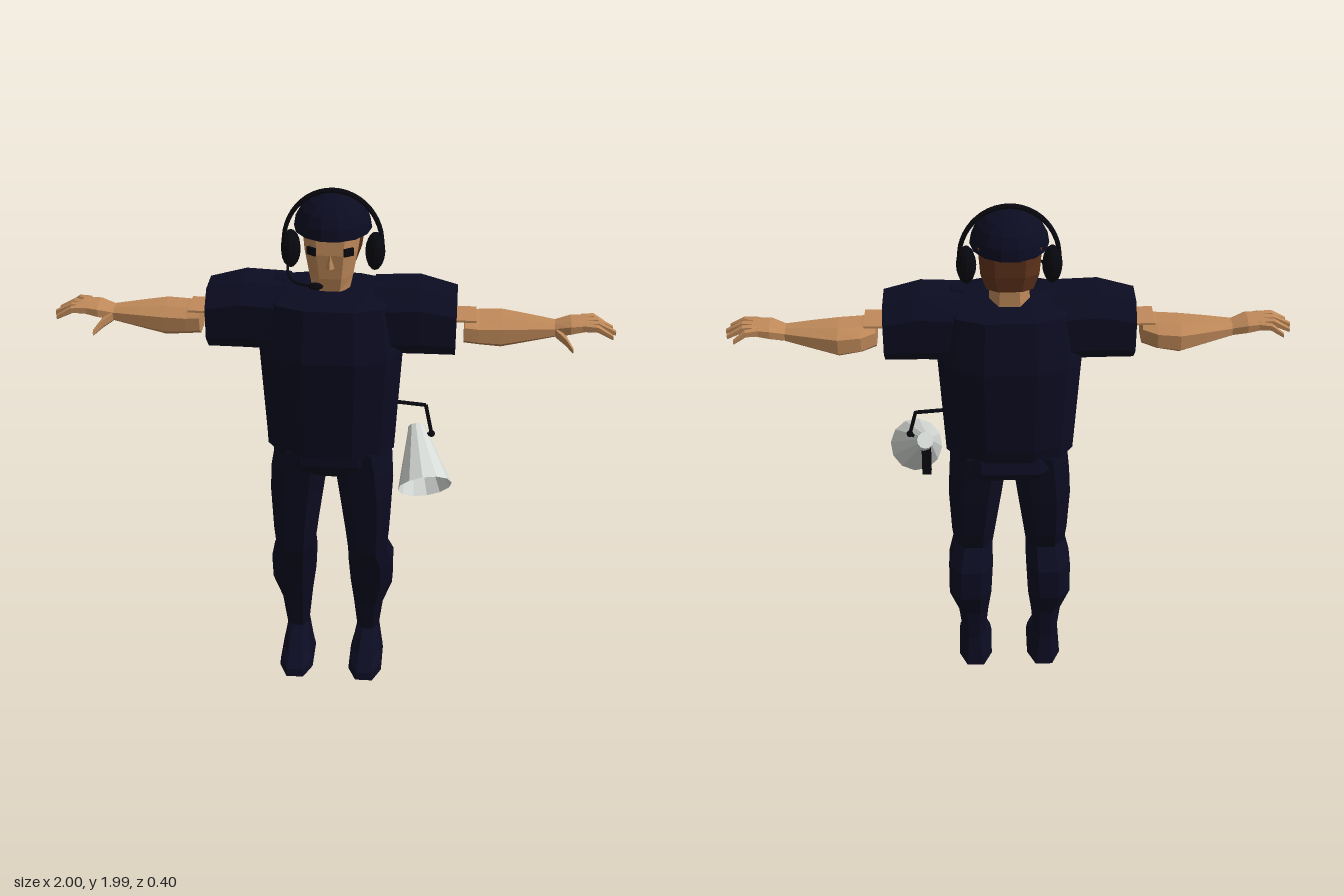
import * as THREE from 'three';

const paint = (name, color) => {
  const m = new THREE.MeshStandardMaterial({ color });
  m.name = name;
  return m;
};

export function createModel() {
  const root = new THREE.Group();
  root.name = 'crewMember';
  const navy = paint('navyCloth', 0x0c0c22);
  const black = paint('blackPlastic', 0x07070f);
  const skin = paint('skin', 0xc08a5a);
  const hair = paint('brownHair', 0x63351d);
  const white = paint('whitePlastic', 0xd6dad6);
  white.side = THREE.DoubleSide;

  const add = (name, geo, mat, pos = [0, 0, 0], scale = [1, 1, 1]) => {
    const flat = geo.index ? geo.toNonIndexed() : geo;
    flat.scale(...scale);
    flat.computeVertexNormals();
    const mesh = new THREE.Mesh(flat, mat);
    mesh.name = name;
    mesh.position.set(...pos);
    root.add(mesh);
    return mesh;
  };

  // Closed skin through rounded rings. Rows along y: [y, x0, x1, z0, z1];
  // rows along x: [x, z0, z1, y0, y1]. side = -1 mirrors across x.
  const loft = (name, mat, rows, { n = 8, axis = 'y', side = 1, power = 2.6, turn = 0.5 } = {}) => {
    const point = (r, a, b) => axis === 'y'
      ? [a * side, r[0], b] : [r[0] * side, b, a];
    const rings = rows.map(r => Array.from({ length: n }, (_, j) => {
      const t = (j + turn) / n * Math.PI * 2;
      const k = v => Math.sign(v) * Math.abs(v) ** (2 / power);
      const fit = turn ? Math.cos(Math.PI / n) ** (2 / power) : 1;
      return point(r, (r[1] + r[2]) / 2 + (r[2] - r[1]) / 2 * k(Math.cos(t)) / fit,
        (r[3] + r[4]) / 2 + (r[4] - r[3]) / 2 * k(Math.sin(t)) / fit);
    }));
    const mid = r => point(r, (r[1] + r[2]) / 2, (r[3] + r[4]) / 2);
    const out = [];
    const tri = (a, b, c) => out.push(...a, ...(side > 0 ? b : c), ...(side > 0 ? c : b));
    const last = rows.length - 1;
    for (let j = 0; j < n; j++) {
      const k = (j + 1) % n;
      for (let i = 0; i < last; i++) {
        tri(rings[i][j], rings[i + 1][j], rings[i][k]);
        tri(rings[i][k], rings[i + 1][j], rings[i + 1][k]);
      }
      tri(mid(rows[0]), rings[0][j], rings[0][k]);
      tri(mid(rows[last]), rings[last][k], rings[last][j]);
    }
    const geo = new THREE.BufferGeometry();
    geo.setAttribute('position', new THREE.Float32BufferAttribute(out, 3));
    return add(name, geo, mat);
  };

  const rod = (name, from, to, r0, r1, mat, sides = 6, open = false) => {
    const a = new THREE.Vector3(...from), b = new THREE.Vector3(...to);
    const d = b.clone().sub(a);
    const mesh = add(name, new THREE.CylinderGeometry(r1, r0, d.length(), sides, 1, open), mat);
    mesh.position.copy(a).add(b).multiplyScalar(0.5);
    mesh.quaternion.setFromUnitVectors(new THREE.Vector3(0, 1, 0), d.normalize());
    return mesh;
  };

  // Shirt and hips
  loft('shirt', navy, [
    [1.02, -0.232, 0.232, -0.16, 0.165], [1.08, -0.235, 0.235, -0.175, 0.17],
    [1.42, -0.255, 0.255, -0.2, 0.2], [1.61, -0.235, 0.235, -0.17, 0.17],
    [1.665, -0.2, 0.2, -0.035, 0.035]], { n: 12 });
  loft('hips', navy, [
    [0.9, -0.04, 0.04, -0.09, 0.09], [0.94, -0.19, 0.19, -0.15, 0.14],
    [0.98, -0.21, 0.21, -0.175, 0.155], [1.04, -0.21, 0.21, -0.155, 0.155]]);

  for (const side of [1, -1]) {
    const arm = { axis: 'x', side };
    const label = side > 0 ? 'left' : 'right';

    // Trouser leg and shoe
    loft(label + 'Leg', navy, [
      [0.11, 0.1, 0.182, -0.105, -0.01], [0.26, 0.085, 0.2, -0.112, 0.015],
      [0.36, 0.072, 0.235, -0.142, 0.037], [0.48, 0.065, 0.235, -0.13, 0.073],
      [0.56, 0.065, 0.212, -0.072, 0.1], [0.64, 0.055, 0.22, -0.1, 0.11],
      [0.82, 0.03, 0.228, -0.13, 0.125], [0.93, 0.015, 0.222, -0.14, 0.14],
      [1.03, 0.01, 0.205, -0.15, 0.15]], { side, power: 2.3 });
    loft(label + 'Shoe', navy, [
      [0, 0.072, 0.203, -0.125, 0.165], [0.032, 0.078, 0.2, -0.12, 0.16],
      [0.054, 0.085, 0.195, -0.116, 0.095], [0.13, 0.1, 0.182, -0.105, -0.015]], { side });

    // Sleeve, bare arm and the skin strip that runs into the sleeve
    loft(label + 'Sleeve', navy, [
      [0.15, -0.13, 0.13, 1.41, 1.655], [0.31, -0.12, 0.12, 1.41, 1.664],
      [0.44, -0.11, 0.11, 1.408, 1.63]], arm);
    loft(label + 'Arm', skin, [
      [0.468, -0.065, 0.072, 1.45, 1.545], [0.52, -0.092, 0.068, 1.44, 1.54],
      [0.6, -0.1, 0.058, 1.43, 1.54], [0.69, -0.075, 0.045, 1.45, 1.532],
      [0.79, -0.045, 0.028, 1.472, 1.522]], arm);
    add(label + 'ArmStrip', new THREE.BoxGeometry(0.09, 0.008, 0.12), skin, [side * 0.465, 1.541, 0]);

    // Hand with four fingers and a thumb
    loft(label + 'Palm', skin, [
      [0.785, -0.045, 0.028, 1.472, 1.522], [0.84, -0.058, 0.045, 1.485, 1.54],
      [0.9, -0.055, 0.04, 1.5, 1.542]], arm);
    [[-0.047, -0.068, 0.965], [-0.02, -0.03, 0.992], [0.005, 0.008, 1], [0.029, 0.045, 0.988]]
      .forEach(([z0, z1, tip], i) => loft(label + 'Finger' + (i + 1), skin, [
        [0.88, z0 - 0.013, z0 + 0.013, 1.505, 1.537],
        [(0.88 + tip) / 2, (z0 + z1) / 2 - 0.011, (z0 + z1) / 2 + 0.011, 1.508, 1.535],
        [tip, z1 - 0.007, z1 + 0.007, 1.485, 1.503]], { ...arm, n: 6 }));
    loft(label + 'Thumb', skin, [
      [0.79, 0, 0.035, 1.475, 1.515], [0.825, 0.03, 0.062, 1.458, 1.492],
      [0.85, 0.072, 0.094, 1.445, 1.465]], { ...arm, n: 6 });

    // Ear cup and eye lens
    add(label + 'EarCup', new THREE.SphereGeometry(1, 12, 8), black,
      [side * 0.148, 1.762, -0.02], [0.035, 0.068, 0.052]);
    const lens = add(label + 'Lens', new THREE.BoxGeometry(0.036, 0.028, 0.008), black,
      [side * 0.064, 1.802, 0.094]);
    lens.rotation.y = side * 0.6;
  }

  // Neck, head and hair
  loft('neck', skin, [[1.6, -0.075, 0.075, -0.1, 0.06], [1.72, -0.065, 0.065, -0.1, 0.05]]);
  loft('head', skin, [
    [1.65, -0.065, 0.065, -0.03, 0.085], [1.7, -0.076, 0.076, -0.08, 0.094],
    [1.79, -0.092, 0.092, -0.11, 0.102], [1.87, -0.1, 0.1, -0.12, 0.095]]);
  const nose = add('nose', new THREE.ConeGeometry(0.016, 0.055, 4), skin, [0, 1.77, 0.102]);
  nose.scale.z = 0.8;
  loft('hair', hair, [
    [1.71, -0.08, 0.08, -0.125, -0.03], [1.77, -0.1, 0.1, -0.137, -0.02],
    [1.87, -0.108, 0.108, -0.145, 0]]);

  // Cap: half dome with a flat underside
  add('cap', new THREE.SphereGeometry(1, 14, 5, 0, Math.PI * 2, 0, Math.PI / 2), navy,
    [0, 1.848, -0.025], [0.136, 0.125, 0.15]);
  add('capUnderside', new THREE.CircleGeometry(1, 14).rotateX(Math.PI / 2), navy,
    [0, 1.848, -0.025], [0.136, 1, 0.15]);

  // Headset band and microphone
  const band = Array.from({ length: 13 }, (_, i) => {
    const t = Math.PI * i / 12;
    return new THREE.Vector3(0.172 * Math.cos(t), 1.785 + 0.195 * Math.sin(t), -0.02);
  });
  add('headsetBand', new THREE.TubeGeometry(new THREE.CatmullRomCurve3(band), 24, 0.009, 6), black);
  const boom = [[-0.155, 1.72, -0.02], [-0.15, 1.7, 0.06], [-0.11, 1.697, 0.13], [-0.045, 1.697, 0.15]];
  add('microphoneBoom', new THREE.TubeGeometry(
    new THREE.CatmullRomCurve3(boom.map(p => new THREE.Vector3(...p))), 14, 0.005, 5), black);
  add('microphone', new THREE.SphereGeometry(1, 8, 6), black, [-0.045, 1.698, 0.152], [0.027, 0.013, 0.013]);

  // Megaphone hanging at the left hip
  const bell = [0.352, 0.905, 0.14], tail = [0.312, 1.045, -0.038];
  rod('megaphoneHorn', bell, tail, 0.1, 0.033, white, 12, true);
  rod('megaphoneBack', tail, [0.31, 1.052, -0.047], 0.033, 0.031, white, 12);
  rod('megaphoneCore', [0.312, 0.95, 0.06], [0.3, 0.945, 0.085], 0.018, 0.014, black, 8);
  const grip = add('megaphoneGrip', new THREE.BoxGeometry(0.034, 0.12, 0.04), black, [0.308, 0.965, -0.035]);
  grip.rotation.x = 0.15;

  // Strap from the shirt to the megaphone
  const strap = [[0.2, 1.17, -0.02], [0.343, 1.158, -0.02], [0.368, 1.05, 0], [0.335, 1.035, -0.01]];
  for (let i = 0; i < 3; i++) rod('strap' + (i + 1), strap[i], strap[i + 1], 0.007, 0.007, black);
  add('strapClip', new THREE.SphereGeometry(0.013, 8, 6), black, strap[2]);

  return root;
}
